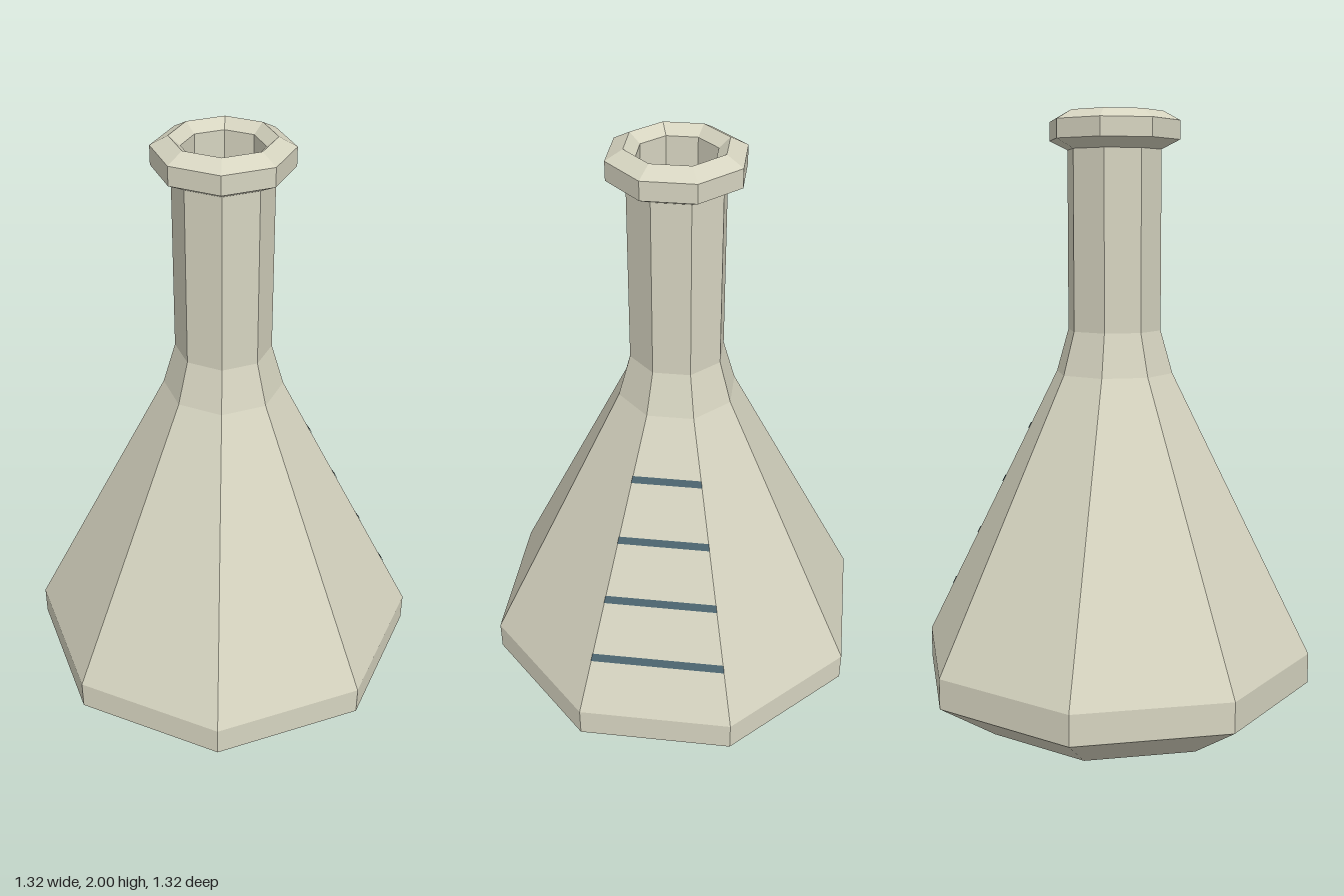
import * as THREE from 'three';

const SIDES = 8;
const SHOULDER = { r0: 0.66, y0: 0.23, r1: 0.195, y1: 1.16 };

// Eight-sided turned part from [radius, height] pairs, listed bottom to top.
function turned(name, profile, material) {
  const points = profile.map(([r, y]) => new THREE.Vector2(r, y));
  const mesh = new THREE.Mesh(new THREE.LatheGeometry(points, SIDES), material);
  mesh.name = name;
  return mesh;
}

// Thin band lying on the shoulder facet between +x and its neighbour towards -z.
function gradationMark(y, height, material) {
  const { r0, y0, r1, y1 } = SHOULDER;
  const c = Math.SQRT1_2;
  const corners = [];
  for (const h of [y - height / 2, y + height / 2]) {
    const r = r0 + (r1 - r0) * (h - y0) / (y1 - y0) + 0.003;
    corners.push(r, h, 0, r * c, h, -r * c);
  }
  const geometry = new THREE.BufferGeometry();
  geometry.setAttribute('position', new THREE.Float32BufferAttribute(corners, 3));
  geometry.setIndex([0, 1, 3, 0, 3, 2]);
  geometry.computeVertexNormals();
  return new THREE.Mesh(geometry, material);
}

export function createModel() {
  const flask = new THREE.Group();
  flask.name = 'flask';
  const glass = new THREE.MeshStandardMaterial({ color: 0xd6d4c0, flatShading: true });
  const ink = new THREE.MeshStandardMaterial({ color: 0x4c6570, side: THREE.DoubleSide });

  // Base, sloping shoulder and neck
  flask.add(turned('body', [
    [0, 0], [0.465, 0], [0.66, 0.13], [SHOULDER.r0, SHOULDER.y0],
    [SHOULDER.r1, SHOULDER.y1], [0.155, 1.3], [0.155, 1.88],
  ], glass));

  // Flared lip
  flask.add(turned('lip', [
    [0.155, 1.88], [0.215, 1.91], [0.215, 1.97], [0.16, 2], [0.125, 1.97],
  ], glass));

  // Inner wall and floor of the neck
  flask.add(turned('neckBore', [[0.125, 1.97], [0.125, 1.3], [0, 1.3]], glass));

  // Measuring marks on one facet
  const marks = new THREE.Group();
  marks.name = 'gradationMarks';
  for (let i = 0; i < 4; i++) {
    const mark = gradationMark(0.412 + i * 0.186, 0.024 - i * 0.001, ink);
    mark.name = `gradationMark${i + 1}`;
    marks.add(mark);
  }
  flask.add(marks);
  return flask;
}
